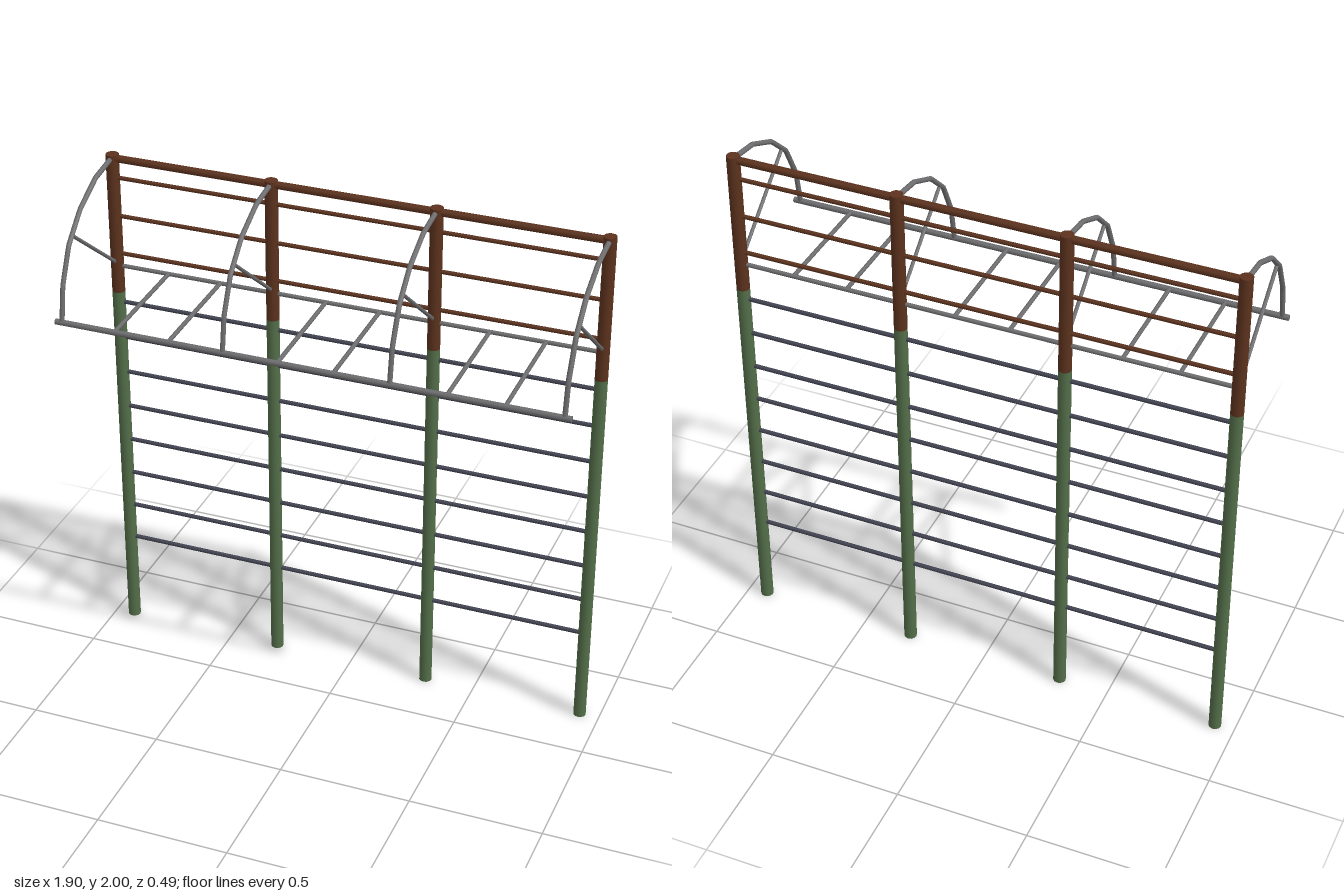
import * as THREE from 'three';

const material = (name, color) => Object.assign(new THREE.MeshStandardMaterial({ color }), { name });
const green = material('green paint', 0x536e49);
const brown = material('brown paint', 0x5c321d);
const grey = material('grey steel', 0x6e6e70);
const slate = material('dark slate steel', 0x424452);

const WALL_Z = -0.224;
const FRONT_Z = 0.235;
const POSTS = [-0.925, -0.308, 0.308, 0.925];
const UP = new THREE.Vector3(0, 1, 0);

export function createModel() {
  const model = new THREE.Group();
  model.name = 'climbingWall';

  // Straight round bar between two points
  function bar(name, from, to, radius, mat, sides = 8) {
    const a = new THREE.Vector3(...from);
    const b = new THREE.Vector3(...to);
    const dir = b.clone().sub(a);
    const mesh = new THREE.Mesh(new THREE.CylinderGeometry(radius, radius, dir.length(), sides), mat);
    mesh.name = name;
    mesh.position.copy(a).add(b).multiplyScalar(0.5);
    mesh.quaternion.setFromUnitVectors(UP, dir.normalize());
    model.add(mesh);
  }

  // Bar running along the wall from the first post to the last
  const wallBar = (name, y, radius, mat) =>
    bar(name, [POSTS[0], y, WALL_Z], [POSTS[3], y, WALL_Z], radius, mat);

  // Wall bars: slate below, brown above, a thick one on top
  for (let i = 0; i < 8; i++) wallBar('lowerRung', 0.37 + i * 0.148, 0.008, slate);
  for (const y of [1.606, 1.757, 1.909]) wallBar('upperRung', y, 0.008, brown);
  wallBar('topRail', 1.984, 0.0145, brown);
  wallBar('canopyBackRail', 1.555, 0.008, grey);

  // Canopy front rail, slightly longer than the wall
  bar('canopyFrontRail', [-0.95, 1.543, FRONT_Z], [0.95, 1.543, FRONT_Z], 0.011, grey);

  // Faceted quarter arch, as [z, y] points
  const arch = [[WALL_Z, 1.987], [-0.085, 1.966], [0.048, 1.902], [0.149, 1.807], [0.213, 1.676], [FRONT_Z, 1.543]];

  for (const x of POSTS) {
    // Two-colour post
    bar('postLower', [x, 0, WALL_Z], [x, 1.45, WALL_Z], 0.024, green, 12);
    bar('postUpper', [x, 1.45, WALL_Z], [x, 2, WALL_Z], 0.024, brown, 12);

    // Arch built as a chain of straight tubes
    const path = new THREE.CurvePath();
    for (let i = 1; i < arch.length; i++) {
      const [p, q] = [arch[i - 1], arch[i]].map(([z, y]) => new THREE.Vector3(x, y, z));
      path.add(new THREE.LineCurve3(p, q));
    }
    const tube = new THREE.Mesh(new THREE.TubeGeometry(path, 30, 0.0095, 8), grey);
    tube.name = 'canopyArch';
    model.add(tube);

    // Diagonal strut from post to arch
    bar('archBrace', [x, 1.563, WALL_Z], [x, 1.828, 0.115], 0.007, grey);
  }

  // Two canopy rungs in each bay
  for (let bay = 0; bay < 3; bay++) {
    for (const t of [1 / 3, 2 / 3]) {
      const x = THREE.MathUtils.lerp(POSTS[bay], POSTS[bay + 1], t);
      bar('canopyRung', [x, 1.555, WALL_Z], [x, 1.546, FRONT_Z], 0.008, grey);
    }
  }

  return model;
}
